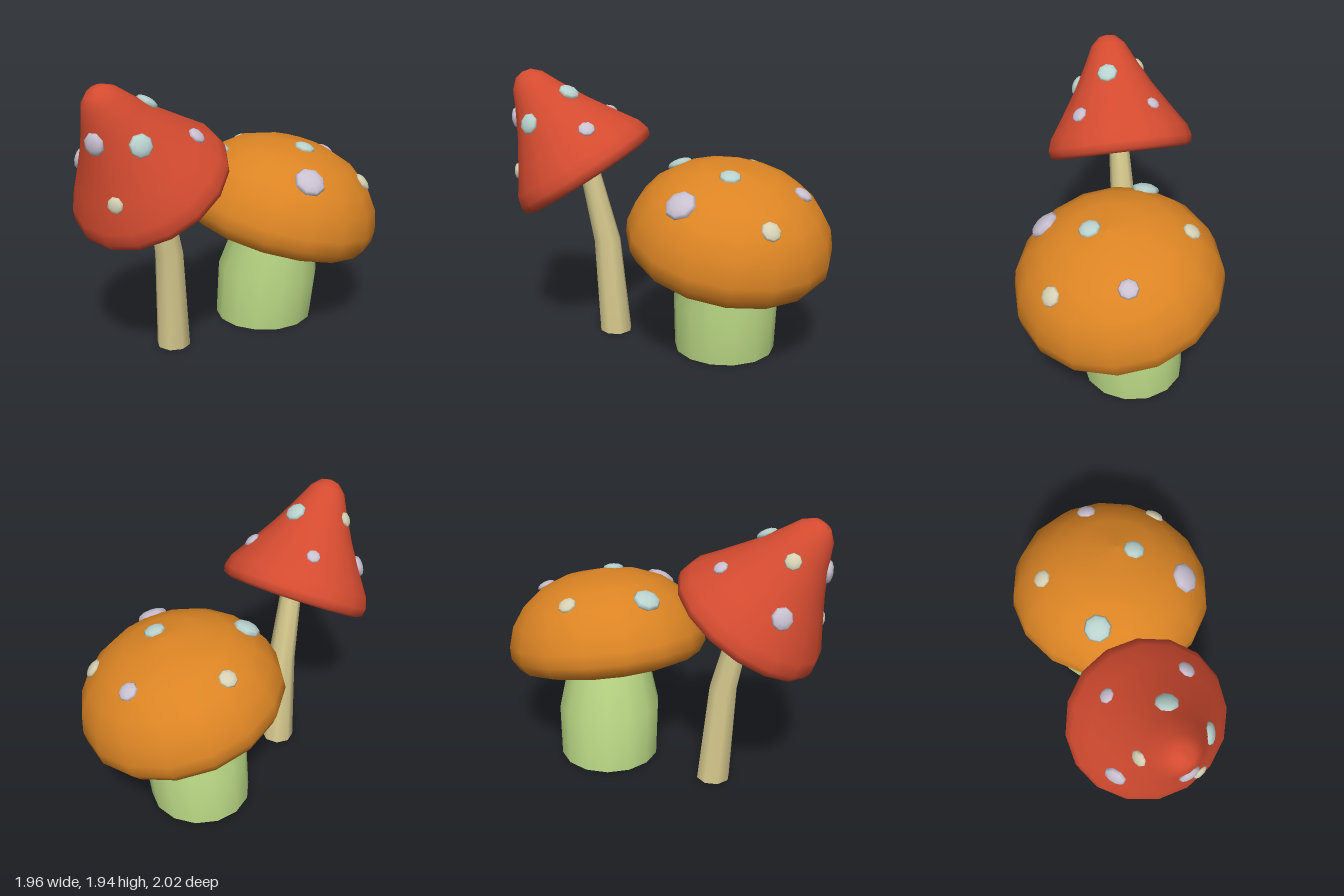
import * as THREE from 'three';
import { toCreasedNormals } from 'three/addons/utils/BufferGeometryUtils.js';

const UP = new THREE.Vector3(0, 1, 0);

function flat(name, color) {
  const m = new THREE.MeshStandardMaterial({ color });
  m.name = name;
  return m;
}

function add(parent, name, geometry, material) {
  const mesh = new THREE.Mesh(geometry, material);
  mesh.name = name;
  parent.add(mesh);
  return mesh;
}

// Bent stem: a cylinder whose three rings are moved to [x, y, z, radius, tilt]
function stemGeometry(rings, sides) {
  const g = new THREE.CylinderGeometry(1, 1, 2, sides, 2);
  const pos = g.attributes.position;
  const v = new THREE.Vector3();
  for (let i = 0; i < pos.count; i++) {
    v.fromBufferAttribute(pos, i);
    const [x, y, z, r, tilt] = rings[Math.round(v.y) + 1];
    v.set(v.x * r, 0, v.z * r).applyAxisAngle(new THREE.Vector3(0, 0, 1), tilt);
    pos.setXYZ(i, v.x + x, v.y + y, v.z + z);
  }
  return toCreasedNormals(g, 0.9);
}

// Nearest point of the cap profile to (r, y), with its outward normal
function onProfile(profile, r, y) {
  const p = new THREE.Vector2(r, y);
  let best = null;
  for (let i = 0; i < profile.length - 1; i++) {
    const a = profile[i], d = profile[i + 1].clone().sub(a);
    const t = THREE.MathUtils.clamp(p.clone().sub(a).dot(d) / d.lengthSq(), 0, 1);
    const point = a.clone().addScaledVector(d, t);
    const dist = point.distanceTo(p);
    if (!best || dist < best.dist) {
      best = { dist, point, normal: new THREE.Vector2(d.y, -d.x).normalize() };
    }
  }
  return best;
}

// Tilted cap with a flat underside and raised spots
function makeCap(center, axis, points, material, spots) {
  const cap = new THREE.Group();
  cap.name = 'cap';
  cap.position.set(...center);
  cap.quaternion.setFromUnitVectors(UP, new THREE.Vector3(...axis).normalize());
  cap.updateMatrixWorld();

  const profile = points.map(([r, y]) => new THREE.Vector2(r, y));
  add(cap, 'capTop', new THREE.LatheGeometry(profile, 16), material);
  const under = [new THREE.Vector2(0, points[0][1]), profile[0]];
  add(cap, 'capUnderside', new THREE.LatheGeometry(under, 16), material);

  for (const [x, y, z, size, mat] of spots) {
    const p = cap.worldToLocal(new THREE.Vector3(x, y, z));
    const angle = Math.atan2(p.z, p.x);
    const { point, normal } = onProfile(profile, Math.hypot(p.x, p.z), p.y);
    const around = (v) => new THREE.Vector3(v.x * Math.cos(angle), v.y, v.x * Math.sin(angle));
    const spot = add(cap, 'spot', new THREE.SphereGeometry(1, 8, 6), mat);
    spot.position.copy(around(point));
    spot.quaternion.setFromUnitVectors(UP, around(normal));
    spot.scale.set(size, size * 0.42, size);
  }
  return cap;
}

export function createModel() {
  const orange = flat('orange cap', 0xdb8424);
  const red = flat('red cap', 0xd44b30);
  const green = flat('green stem', 0xbbd985);
  const straw = flat('straw stem', 0xd8cb8f);
  const lilac = flat('lilac spot', 0xc9c0d0);
  const mint = flat('pale teal spot', 0xb9d2cd);
  const cream = flat('cream spot', 0xd6d1b4);

  const model = new THREE.Group();
  model.name = 'mushrooms';

  // Wide mushroom
  const wide = new THREE.Group();
  wide.name = 'wideMushroom';
  add(wide, 'stem', stemGeometry([
    [0.165, 0, -0.315, 0.357, 0],
    [0.195, 0.37, -0.305, 0.367, -0.1],
    [0.27, 0.82, -0.29, 0.265, -0.24],
  ], 14), green);
  wide.add(makeCap([0.28, 0.85, -0.29], [0.24, 0.97, -0.05], [
    [0.57, -0.17], [0.66, -0.14], [0.71, -0.06], [0.71, 0.03], [0.67, 0.17],
    [0.58, 0.3], [0.44, 0.41], [0.26, 0.48], [0, 0.51],
  ], orange, [
    [-0.06, 1.27, -0.62, 0.065, cream],
    [0.56, 1.18, -0.69, 0.068, lilac],
    [0.46, 1.33, -0.21, 0.075, mint],
    [0.87, 1.06, -0.31, 0.07, cream],
    [-0.15, 1.3, -0.09, 0.095, mint],
    [0.53, 1.18, 0.16, 0.11, lilac],
  ]));
  model.add(wide);

  // Tall mushroom
  const tall = new THREE.Group();
  tall.name = 'tallMushroom';
  add(tall, 'stem', stemGeometry([
    [-0.383, 0, 0.335, 0.118, 0],
    [-0.388, 0.71, 0.387, 0.098, 0.05],
    [-0.445, 1.33, 0.515, 0.07, 0.1],
  ], 8), straw);
  tall.add(makeCap([-0.465, 1.24, 0.52], [-0.27, 0.84, 0.47], [
    [0.49, -0.06], [0.53, -0.04], [0.54, 0.01], [0.515, 0.09], [0.42, 0.23],
    [0.29, 0.43], [0.185, 0.62], [0.125, 0.74], [0.065, 0.797], [0, 0.812],
  ], red, [
    [-0.4, 1.6, 0.93, 0.075, mint],
    [-0.69, 1.6, 0.98, 0.075, lilac],
    [-0.56, 1.24, 1.0, 0.055, cream],
    [-0.91, 1.41, 0.58, 0.075, lilac],
    [-0.8, 1.73, 0.67, 0.055, cream],
    [-0.43, 1.82, 0.62, 0.075, mint],
    [-0.13, 1.6, 0.59, 0.06, lilac],
    [-0.58, 1.67, 0.27, 0.05, lilac],
  ]));
  model.add(tall);

  return model;
}
